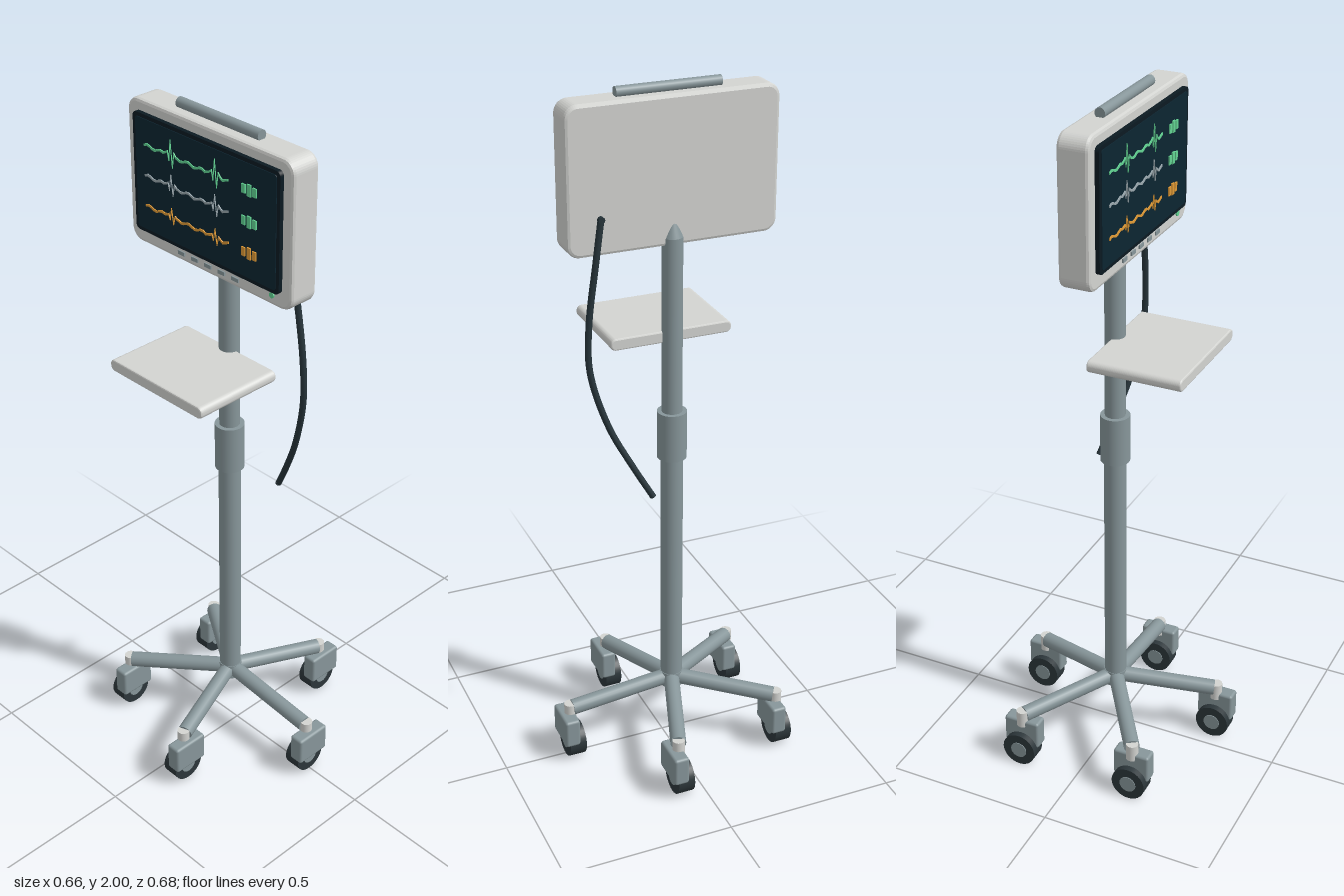
import * as THREE from 'three';
import { RoundedBoxGeometry } from 'three/addons/geometries/RoundedBoxGeometry.js';

const material = (name, color) => {
  const m = new THREE.MeshStandardMaterial({ color });
  m.name = name;
  return m;
};

function roundedRect(w, h, r) {
  const s = new THREE.Shape();
  const x = w / 2, y = h / 2;
  s.moveTo(-x + r, -y);
  s.lineTo(x - r, -y);
  s.absarc(x - r, -y + r, r, -Math.PI / 2, 0);
  s.lineTo(x, y - r);
  s.absarc(x - r, y - r, r, 0, Math.PI / 2);
  s.lineTo(-x + r, y);
  s.absarc(-x + r, y - r, r, Math.PI / 2, Math.PI);
  s.lineTo(-x, -y + r);
  s.absarc(-x + r, -y + r, r, Math.PI, Math.PI * 1.5);
  return s;
}

// Rounded slab whose outer size includes its bevel; back face at z = 0
function slab(w, h, d, r, bevel) {
  const g = new THREE.ExtrudeGeometry(roundedRect(w - 2 * bevel, h - 2 * bevel, r), {
    depth: d - 2 * bevel, bevelEnabled: bevel > 0, bevelSize: bevel,
    bevelThickness: bevel, bevelSegments: 2, curveSegments: 5,
  });
  return g.translate(0, 0, bevel);
}

export function createModel() {
  const shell = material('light grey shell', 0xd3d4d1);
  const steel = material('steel grey', 0x87969a);
  const rubber = material('dark rubber', 0x2c363a);
  const bezelMat = material('bezel black', 0x0b1a22);
  const screenMat = material('screen navy', 0x0c2531);
  const green = material('signal green', 0x62d493);
  const pale = material('signal grey', 0x9aa8ae);
  const orange = material('signal orange', 0xe09a35);
  const cableMat = material('cable slate', 0x26343a);

  const model = new THREE.Group();
  model.name = 'patientMonitorStand';
  const CX = -0.03;
  const add = (name, geometry, mat, x = 0, y = 0, z = 0, parent = model) => {
    const m = new THREE.Mesh(geometry, mat);
    m.name = name;
    m.position.set(x, y, z);
    parent.add(m);
    return m;
  };
  const rod = (name, a, b, r, mat) => {
    const dir = b.clone().sub(a);
    const m = add(name, new THREE.CylinderGeometry(r, r, dir.length(), 20), mat);
    m.position.copy(a).add(b).multiplyScalar(0.5);
    m.quaternion.setFromUnitVectors(new THREE.Vector3(0, 1, 0), dir.normalize());
    return m;
  };

  // Telescopic pole
  const column = (name, r0, r1, y0, y1) =>
    add(name, new THREE.CylinderGeometry(r1, r0, y1 - y0, 28), steel, CX, (y0 + y1) / 2, 0);
  column('lowerPole', 0.032, 0.032, 0.18, 1.0);
  column('upperPole', 0.029, 0.029, 1.0, 1.59);
  column('poleTip', 0.029, 0.01, 1.59, 1.64);
  column('heightCollar', 0.042, 0.042, 0.935, 1.078);
  column('baseHub', 0.034, 0.034, 0.165, 0.212);

  // Five legs, each with a caster
  for (let i = 0; i < 5; i++) {
    const a = (i * 2 * Math.PI) / 5;
    const at = (r, y) => new THREE.Vector3(CX + Math.cos(a) * r, y, Math.sin(a) * r * 0.93);
    rod('leg', at(0, 0.192), at(0.318, 0.16), 0.023, steel);

    const caster = new THREE.Group();
    caster.name = 'caster';
    caster.position.copy(at(0.325, 0));
    model.add(caster);
    add('casterStem', new THREE.CylinderGeometry(0.018, 0.018, 0.05, 16), shell, 0, 0.151, 0, caster);
    add('casterFork', new RoundedBoxGeometry(0.045, 0.088, 0.11, 2, 0.008), steel, 0.011, 0.102, 0, caster);
    add('wheel', new THREE.CylinderGeometry(0.051, 0.051, 0.05, 28).rotateZ(Math.PI / 2),
      rubber, -0.006, 0.051, 0, caster);
    add('wheelHub', new THREE.CylinderGeometry(0.025, 0.025, 0.054, 20).rotateZ(Math.PI / 2),
      steel, -0.006, 0.051, 0, caster);
  }

  // Shelf
  add('shelf', slab(0.356, 0.034, 0.27, 0.011, 0.004), shell, CX, 1.303, 0);

  // Monitor housing, handle and screen
  add('monitorHousing', slab(0.6, 0.406, 0.088, 0.028, 0.009), shell, CX, 1.772, -0.014);
  add('handle', new THREE.CylinderGeometry(0.0145, 0.0145, 0.295, 20).rotateZ(Math.PI / 2),
    steel, CX, 1.9855, 0.03);
  add('screenBezel', slab(0.534, 0.332, 0.012, 0.014, 0), bezelMat, CX, 1.779, 0.074);
  add('screen', slab(0.512, 0.31, 0.002, 0.008, 0), screenMat, CX, 1.779, 0.086);

  // Waveforms: thin ribbons with two heartbeats each
  const beat = [[-0.02, 0.1], [-0.011, 0.25], [-0.006, -0.3], [0, 1], [0.007, -0.7], [0.013, 0.25], [0.022, 0]];
  function wave(amp) {
    const pts = [];
    for (let k = 0; k <= 30; k++) {
      const x = -0.25 + k * 0.0104;
      if ([-0.15, 0.013].every((c) => Math.abs(x - c) > 0.024)) {
        pts.push([x, 0.004 * Math.sin(k * 1.3)]);
      }
    }
    for (const c of [-0.15, 0.013]) for (const [dx, h] of beat) pts.push([c + dx, h * amp]);
    pts.sort((p, q) => p[0] - q[0]);
    const t = 0.0032;
    const outline = [...pts.map(([x, y]) => new THREE.Vector2(x, y - t)),
      ...pts.reverse().map(([x, y]) => new THREE.Vector2(x, y + t))];
    return new THREE.ExtrudeGeometry(new THREE.Shape(outline), { depth: 0.003, bevelEnabled: false });
  }
  const rows = [[1.865, 0.042, green, green], [1.78, 0.032, pale, green], [1.694, 0.024, orange, orange]];
  for (const [y, amp, lineMat, digitMat] of rows) {
    add('waveform', wave(amp), lineMat, 0, y, 0.089);
    [[0.115, 0.024], [0.135, 0.032], [0.154, 0.024]].forEach(([x, h]) =>
      add('readoutBar', new THREE.BoxGeometry(0.013, h, 0.004), digitMat, x, y, 0.09));
  }

  // Buttons and status light
  for (let i = 0; i < 5; i++) {
    add('button', new THREE.BoxGeometry(0.025, 0.011, 0.006), steel, -0.131 + i * 0.0505, 1.593, 0.075);
  }
  add('statusLight', new THREE.CylinderGeometry(0.008, 0.008, 0.006, 16).rotateX(Math.PI / 2),
    green, 0.203, 1.599, 0.075);

  // Hanging cable
  const path = new THREE.CatmullRomCurve3([
    [0.178, 1.67, -0.018], [0.195, 1.56, -0.022], [0.22, 1.38, -0.025], [0.221, 1.25, -0.03],
    [0.178, 1.09, -0.05], [0.12, 0.97, -0.077], [0.068, 0.875, -0.098],
  ].map((p) => new THREE.Vector3(...p)));
  add('cable', new THREE.TubeGeometry(path, 48, 0.009, 10), cableMat);
  const end = path.getPoint(1);
  rod('cableEnd', path.getPoint(0.99), end, 0.009, cableMat);
  rod('cableSocket', new THREE.Vector3(0.178, 1.67, -0.01), new THREE.Vector3(0.178, 1.67, -0.026), 0.009, cableMat);

  return model;
}
